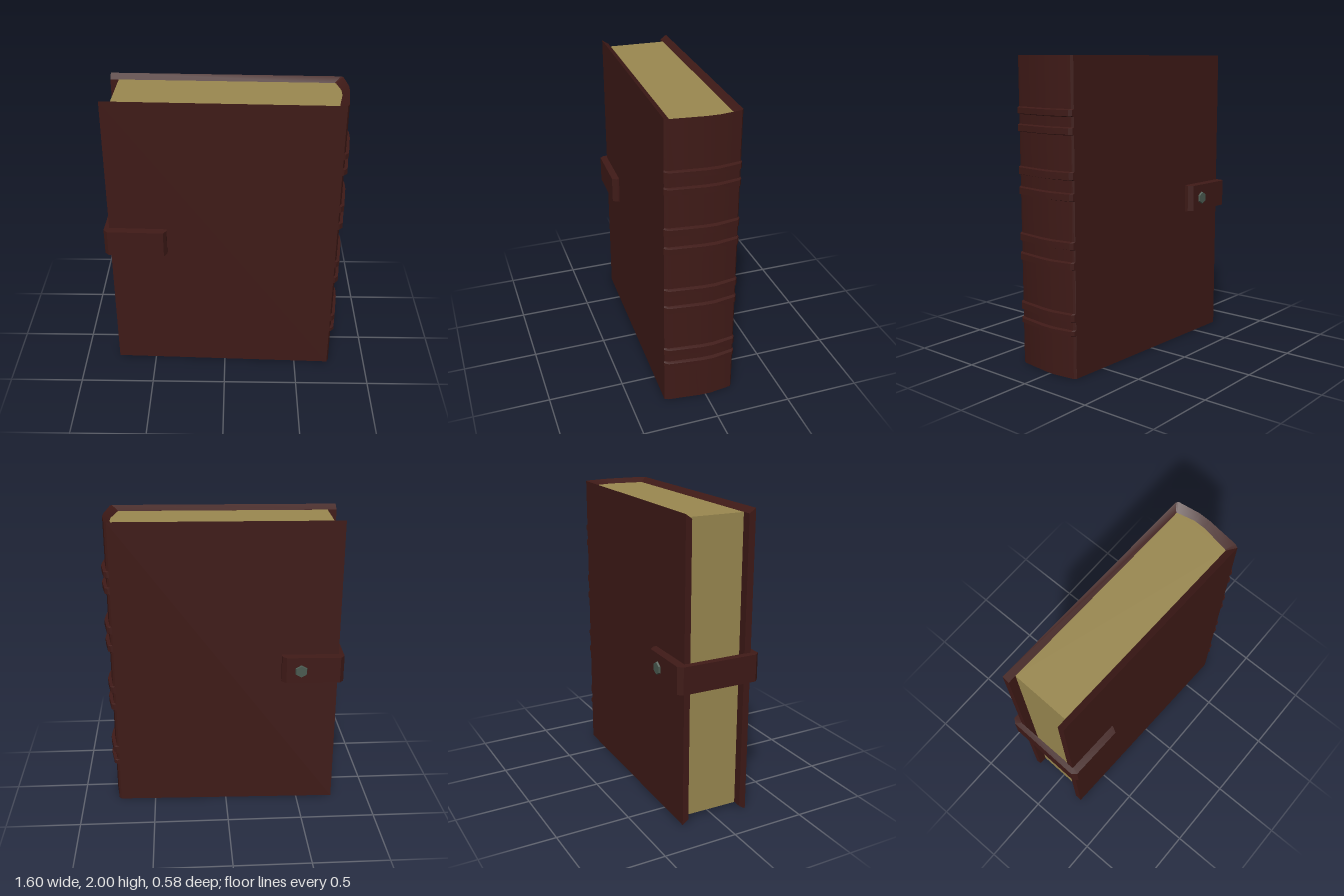
import * as THREE from 'three';
import { toCreasedNormals } from 'three/addons/utils/BufferGeometryUtils.js';

const leather = new THREE.MeshStandardMaterial({ color: 0x3f1a17 });
const paper = new THREE.MeshStandardMaterial({ color: 0x9a8850 });
const metal = new THREE.MeshStandardMaterial({ color: 0x4a5a50 });

// Wall between an outer and an inner [x, z] path, from y0 to y1.
// outerInset / innerInset pull that side's top and bottom edges in, sloping the rim.
function wall(outer, inner, y0, y1, outerInset = 0, innerInset = 0) {
  const rings = outer.map(([ox, oz], i) => {
    const [ix, iz] = inner[i];
    return [
      [ox, y0 + outerInset, oz], [ox, y1 - outerInset, oz],
      [ix, y1 - innerInset, iz], [ix, y0 + innerInset, iz],
    ];
  });
  const pos = [];
  const quad = (a, b, c, d) => pos.push(...a, ...b, ...c, ...a, ...c, ...d);
  for (let i = 0; i < rings.length - 1; i++) {
    const p = rings[i], q = rings[i + 1];
    for (let k = 0; k < 4; k++) {
      const n = (k + 1) % 4;
      quad(p[k], p[n], q[n], q[k]);
    }
  }
  const s = rings[0], e = rings[rings.length - 1];
  quad(s[0], s[3], s[2], s[1]);
  quad(e[0], e[1], e[2], e[3]);
  const geo = new THREE.BufferGeometry();
  geo.setAttribute('position', new THREE.Float32BufferAttribute(pos, 3));
  return toCreasedNormals(geo, 0.4);
}

export function createModel() {
  const book = new THREE.Group();
  book.name = 'book';
  const add = (name, geo, mat) => {
    const mesh = new THREE.Mesh(geo, mat);
    mesh.name = name;
    book.add(mesh);
    return mesh;
  };

  // Rounded spine, from the back cover to the front cover
  const spineOuter = [[0.74, -0.197], [0.755, -0.185], [0.775, -0.04], [0.773, 0.04], [0.748, 0.25], [0.735, 0.275]];
  const spineInner = [[0.7, -0.158], [0.706, -0.152], [0.73, -0.04], [0.728, 0.04], [0.695, 0.215], [0.69, 0.225]];

  // Cover: back board, spine and front board in one wrap with a sloped rim
  add('cover', wall(
    [[-0.75, -0.236], ...spineOuter, [-0.765, 0.23]],
    [[-0.75, -0.195], ...spineInner, [-0.765, 0.185]],
    0, 2, 0, 0.03), leather);

  // Page block
  const outline = [[-0.695, -0.195], ...spineInner, [-0.705, 0.185]];
  const pages = new THREE.ExtrudeGeometry(
    new THREE.Shape(outline.map(([x, z]) => new THREE.Vector2(x, z))),
    { depth: 1.94, bevelEnabled: false });
  pages.rotateX(Math.PI / 2).translate(0, 1.97, 0);
  add('pages', pages, paper);

  // Raised bands in pairs across the spine
  const ribOuter = [[0.755, -0.197], [0.775, -0.182], [0.8, -0.04], [0.797, 0.04], [0.768, 0.255], [0.745, 0.28]];
  const ribs = [[1.637, 1.685], [1.527, 1.577], [1.255, 1.31], [1.127, 1.18],
    [0.827, 0.88], [0.7, 0.752], [0.37, 0.425], [0.28, 0.318]];
  ribs.forEach(([y0, y1], i) =>
    add(`spineBand${i + 1}`, wall(ribOuter, spineOuter, y0, y1, 0.006), leather));

  // Closing strap around the open edge
  add('strap', wall(
    [[-0.385, 0.255], [-0.405, 0.288], [-0.775, 0.277], [-0.8, 0.25], [-0.785, -0.26], [-0.757, -0.29], [-0.4, -0.279], [-0.372, -0.25]],
    [[-0.385, 0.235], [-0.405, 0.235], [-0.755, 0.226], [-0.762, 0.22], [-0.754, -0.225], [-0.75, -0.23], [-0.4, -0.22], [-0.372, -0.22]],
    0.91, 1.1, 0.005), leather);

  // Six-sided stud on the back end of the strap
  const stud = add('stud', toCreasedNormals(
    new THREE.CylinderGeometry(0.04, 0.048, 0.02, 6).rotateX(-Math.PI / 2), 0.3), metal);
  stud.position.set(-0.497, 1, -0.283);
  stud.rotation.y = -0.03;

  return book;
}
